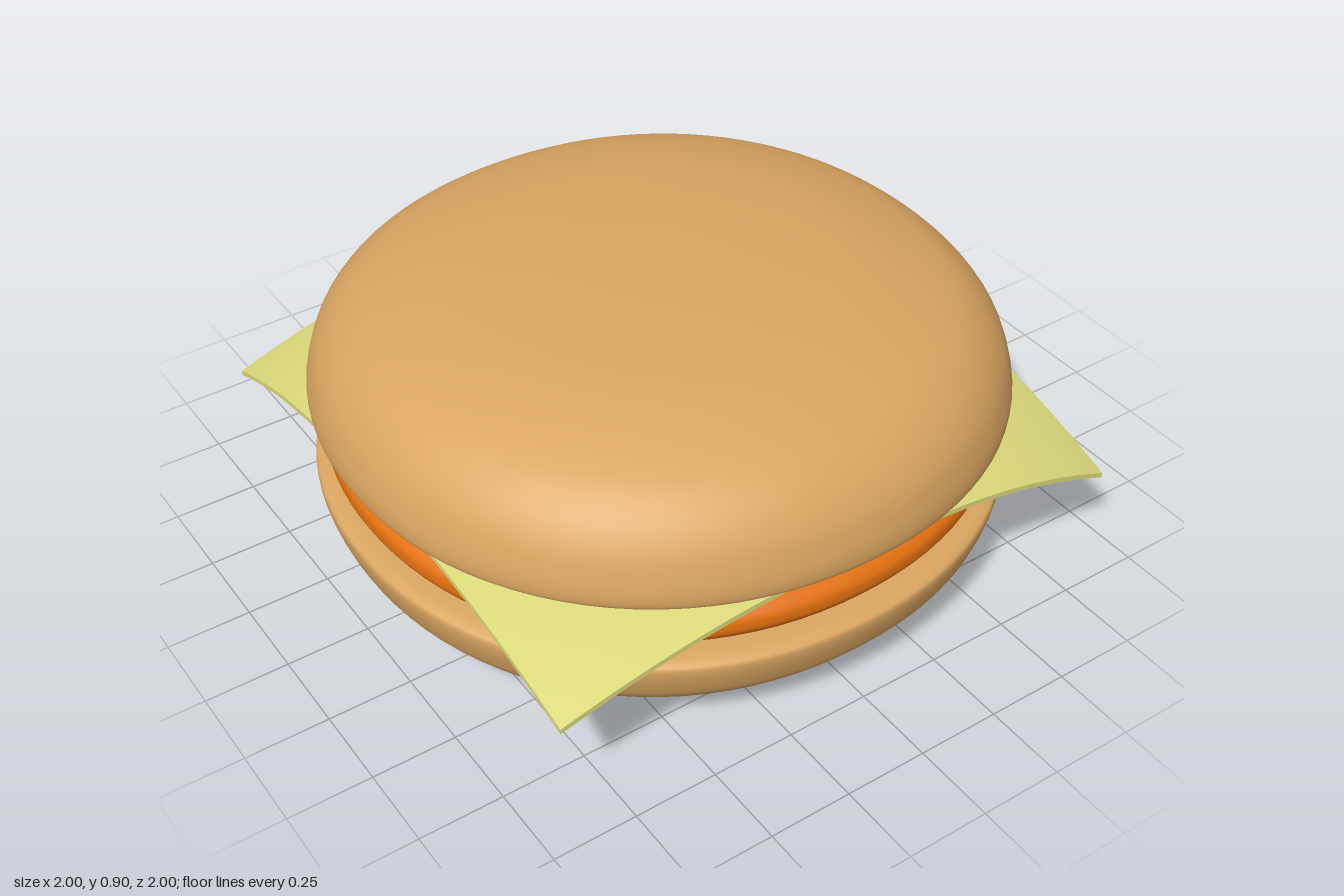
import * as THREE from 'three';
import { mergeVertices } from 'three/addons/utils/BufferGeometryUtils.js';

const BUN = 0xd9a561, PATTY = 0xe2700f, CHEESE = 0xdbd97a;

function part(name, geometry, color) {
  const mesh = new THREE.Mesh(geometry, new THREE.MeshStandardMaterial({ color }));
  mesh.name = name;
  return mesh;
}

// Smooth turned body whose round plan is pushed slightly toward a square
function softRound(profile, power = 2.1) {
  const curve = new THREE.SplineCurve(profile.map(([r, y]) => new THREE.Vector2(r, y)));
  const points = curve.getPoints(56).map(p => new THREE.Vector2(Math.max(p.x, 0), Math.max(p.y, 0)));
  let g = new THREE.LatheGeometry(points, 96);
  const pos = g.attributes.position;
  for (let i = 0; i < pos.count; i++) {
    const x = pos.getX(i), z = pos.getZ(i), r = Math.hypot(x, z);
    if (r < 1e-5) continue;
    const k = Math.pow(Math.abs(x / r) ** power + Math.abs(z / r) ** power, -1 / power);
    pos.setX(i, x * k);
    pos.setZ(i, z * k);
  }
  // Weld the seam so the shading runs round without a break
  g.deleteAttribute('uv');
  g.deleteAttribute('normal');
  g = mergeVertices(g, 1e-5);
  g.computeVertexNormals();
  return g;
}

// Square slice that lies flat in the middle and droops at its corners
function cheeseSlice() {
  const half = 0.918;
  const g = new THREE.BoxGeometry(half * 2, 0.016, half * 2, 48, 1, 48);
  const pos = g.attributes.position;
  for (let i = 0; i < pos.count; i++) {
    const x = pos.getX(i), z = pos.getZ(i);
    const t = Math.max(0, (Math.hypot(x, z) - 0.88) / (half * Math.SQRT2 - 0.88));
    // The back left corner hangs lowest, the front right one highest
    const depth = 0.165 + 0.045 * (x - z) / (2 * half) + (x > 0 && z < 0 ? 0.03 * t : 0);
    pos.setY(i, pos.getY(i) + 0.468 - depth * Math.pow(t, 1.45));
  }
  g.computeVertexNormals();
  return g;
}

export function createModel() {
  const burger = new THREE.Group();
  burger.name = 'cheeseburger';

  burger.add(part('bottomBun', softRound([
    [0, 0.004], [0.4, 0.01], [0.62, 0.025], [0.8, 0.058], [0.9, 0.1], [0.96, 0.16],
    [0.985, 0.215], [0.998, 0.275], [0.985, 0.3], [0.92, 0.312], [0.7, 0.322], [0.4, 0.325], [0, 0.325],
  ]), BUN));

  burger.add(part('patty', softRound([
    [0, 0.322], [0.5, 0.322], [0.85, 0.324], [0.93, 0.334], [0.958, 0.36], [0.963, 0.385],
    [0.955, 0.412], [0.92, 0.436], [0.85, 0.446], [0.5, 0.45], [0, 0.45],
  ]), PATTY));

  burger.add(part('cheeseSlice', cheeseSlice(), CHEESE));

  burger.add(part('topBun', softRound([
    [0, 0.476], [0.4, 0.476], [0.7, 0.48], [0.92, 0.489], [0.985, 0.502], [1, 0.53], [0.992, 0.59],
    [0.962, 0.67], [0.9, 0.745], [0.8, 0.805], [0.6, 0.862], [0.4, 0.887], [0.2, 0.9], [0, 0.903],
  ]), BUN));

  return burger;
}
